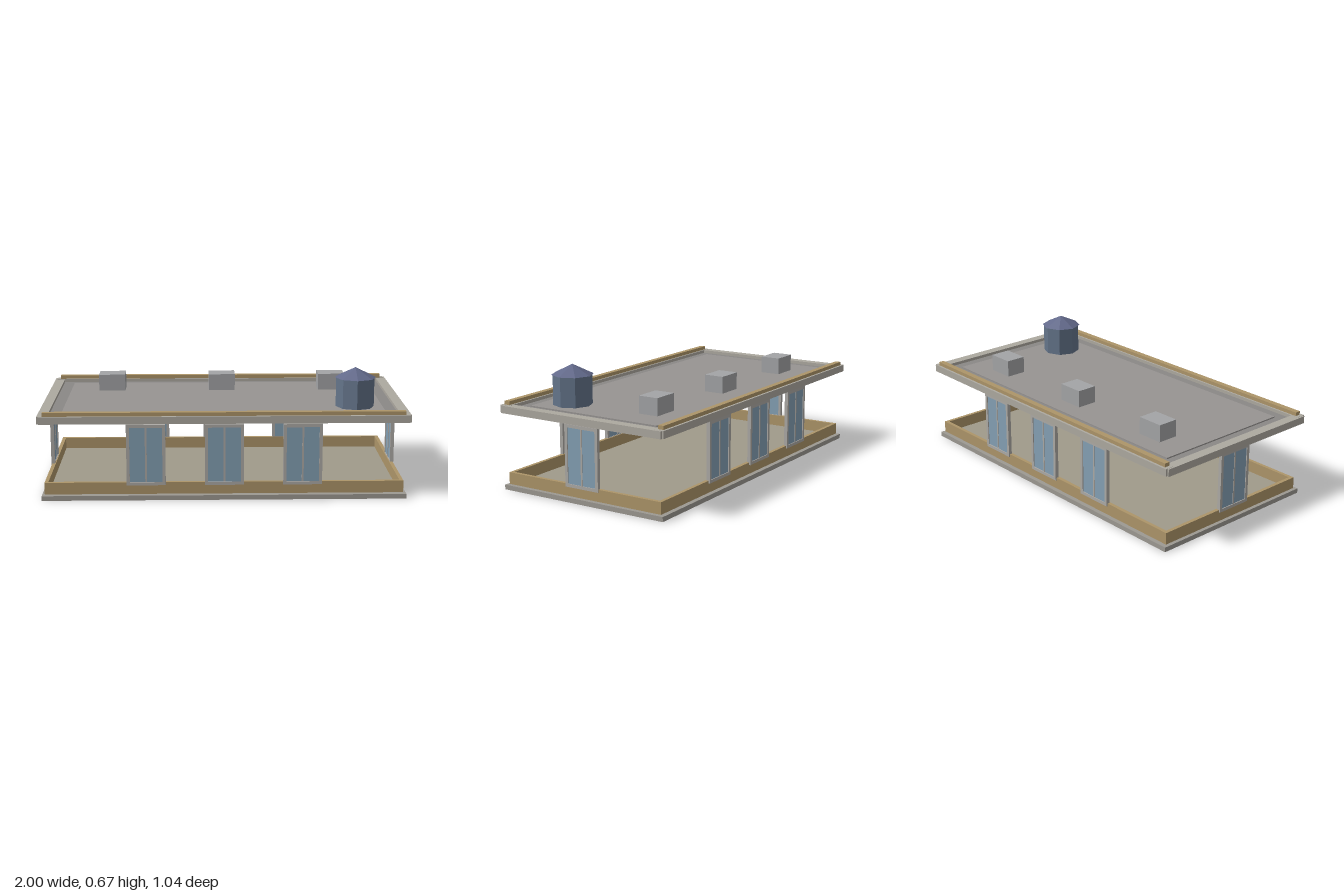
import * as THREE from 'three';

const mat = (color) => new THREE.MeshStandardMaterial({ color, flatShading: true });
const STONE = mat(0xada9a0), SLAB = mat(0x9d9992), FLOOR = mat(0xa09a8a), TAN = mat(0xad9569);
const DECK = mat(0x8a8886), PANEL = mat(0x979492), FRAME = mat(0xadaaa6), GLASS = mat(0x84a0b4);
const UNIT = mat(0xa3a4a6), TANK = mat(0x64748a), CAP = mat(0x62698a);

// Box given by its limits on each axis
function box(name, material, [x0, x1], [y0, y1], [z0, z1]) {
  const mesh = new THREE.Mesh(new THREE.BoxGeometry(x1 - x0, y1 - y0, z1 - z0), material);
  mesh.position.set((x0 + x1) / 2, (y0 + y1) / 2, (z0 + z1) / 2);
  mesh.name = name;
  return mesh;
}

// Two-pane window facing +z, centred on its own x and z
function makeWindow() {
  const win = new THREE.Group();
  win.name = 'window';
  const w = 0.105, b = 0.017, d = [-0.01, 0.01];
  for (const s of [-1, 1]) {
    const xs = s < 0 ? [-w, -w + b] : [w - b, w];
    win.add(box('jamb', FRAME, xs, [0.08, 0.415], d));
    const pane = s < 0 ? [-w + b, -0.005] : [0.005, w - b];
    win.add(box('glassPane', GLASS, pane, [0.095, 0.4], [-0.005, 0.005]));
  }
  win.add(box('lintel', FRAME, [-w + b, w - b], [0.398, 0.415], d));
  win.add(box('sill', FRAME, [-w + b, w - b], [0.08, 0.097], d));
  win.add(box('mullion', FRAME, [-0.005, 0.005], [0.097, 0.398], [-0.008, 0.008]));
  return win;
}

export function createModel() {
  const model = new THREE.Group();
  model.name = 'pavilion';

  // Ground slab and floor
  model.add(box('baseSlab', SLAB, [-0.985, 0.985], [0, 0.026], [-0.51, 0.51]));
  model.add(box('floor', FLOOR, [-0.95, 0.95], [0.026, 0.03], [-0.47, 0.47]));

  // Low walls, roof edge beams and trim on mirrored sides
  for (const s of [-1, 1]) {
    const span = (a, b) => (s > 0 ? [a, b] : [-b, -a]);
    model.add(box('longLowWall', TAN, [-0.97, 0.97], [0.03, 0.095], span(0.47, 0.49)));
    model.add(box('shortLowWall', TAN, span(0.95, 0.97), [0.03, 0.095], [-0.47, 0.47]));
    model.add(box('longRoofBeam', STONE, [-0.99, 0.99], [0.425, 0.465], span(0.465, 0.52)));
    model.add(box('shortRoofBeam', STONE, span(0.945, 1), [0.424, 0.464], [-0.51, 0.51]));
    model.add(box('roofTrim', TAN, [-0.97, 0.97], [0.465, 0.485], span(0.475, 0.507)));
  }

  // Recessed roof deck with raised inner panel
  model.add(box('roofDeck', DECK, [-0.945, 0.945], [0.432, 0.447], [-0.465, 0.465]));
  model.add(box('roofPanel', PANEL, [-0.88, 0.88], [0.447, 0.454], [-0.405, 0.405]));

  // Windows: three on each long side, one on each end
  for (const s of [-1, 1]) {
    for (const x of [-0.422, 0, 0.422]) {
      const win = makeWindow();
      win.position.set(x, 0, s * 0.487);
      model.add(win);
    }
    const end = makeWindow();
    end.rotation.y = Math.PI / 2;
    end.position.x = s * 0.965;
    model.add(end);
  }

  // Rooftop units
  for (const x of [-0.64, 0, 0.64]) {
    model.add(box('rooftopUnit', UNIT, [x - 0.076, x + 0.076], [0.454, 0.549], [-0.298, -0.182]));
  }

  // Octagonal water tank
  const tank = new THREE.Mesh(new THREE.CylinderGeometry(0.106, 0.106, 0.163, 8), TANK);
  tank.name = 'waterTank';
  tank.position.set(0.727, 0.5355, 0.24);
  const cap = new THREE.Mesh(new THREE.ConeGeometry(0.114, 0.056, 8), CAP);
  cap.name = 'tankRoof';
  cap.position.set(0.727, 0.645, 0.24);
  model.add(tank, cap);

  return model;
}
